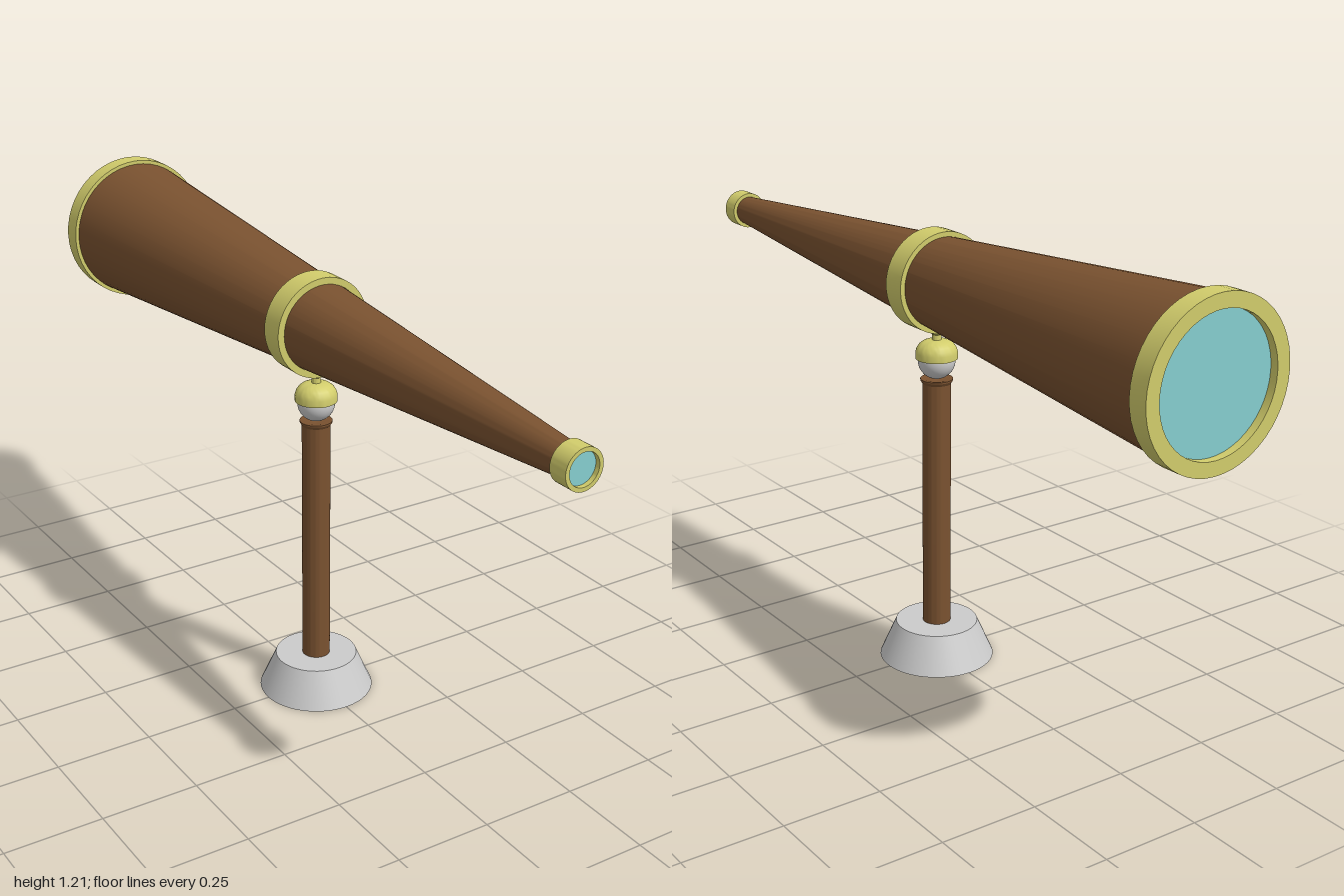
import * as THREE from 'three';
import { toCreasedNormals } from 'three/addons/utils/BufferGeometryUtils.js';

const SEG = 48;
const AXIS_Y = 1.01;

const material = (color) => new THREE.MeshStandardMaterial({ color, side: THREE.DoubleSide });

// Turns a [radius, height] profile about the y axis, keeping sharp edges crisp
function turned(name, profile, mat) {
  const points = profile.map(([r, y]) => new THREE.Vector2(r, y));
  const geometry = toCreasedNormals(new THREE.LatheGeometry(points, SEG), 0.5);
  const mesh = new THREE.Mesh(geometry, mat);
  mesh.name = name;
  return mesh;
}

// Closed rectangular band between two radii
const band = (inner, outer, from, to) =>
  [[inner, from], [outer, from], [outer, to], [inner, to], [inner, from]];

export function createModel() {
  const wood = material(0x7a5230);
  const brass = material(0xd2cd6c);
  const glass = material(0x86cfd0);
  const grey = material(0xcccccc);

  const model = new THREE.Group();
  model.name = 'telescope';

  // Optical tube, built along y and laid so its small end faces the front
  const tube = new THREE.Group();
  tube.name = 'opticalTube';
  tube.add(
    turned('barrel', [[0.186, -0.96], [0.038, 0.96]], wood),
    turned('objectiveRim', band(0.16, 0.195, -1, -0.95), brass),
    turned('middleBand', band(0.11, 0.127, -0.032, 0.032), brass),
    turned('eyepieceRim', band(0.039, 0.049, 0.95, 1), brass),
    turned('objectiveLens', [[0, -0.98], [0.162, -0.98]], glass),
    turned('eyepieceLens', [[0.041, 0.988], [0, 0.988]], glass)
  );
  tube.rotation.x = Math.PI / 2;
  tube.position.y = AXIS_Y;
  model.add(tube);

  // Stand: weighted foot, post with a small flared cup
  model.add(
    turned('base', [[0, 0], [0.148, 0], [0.106, 0.096], [0, 0.096]], grey),
    turned('post', [[0.036, 0.09], [0.036, 0.747], [0.041, 0.755], [0.041, 0.759], [0.033, 0.759], [0, 0.75]], wood)
  );

  // Ball joint with its brass socket and neck
  const ball = new THREE.Mesh(new THREE.SphereGeometry(0.047, SEG, 24), grey);
  ball.name = 'ballJoint';
  ball.position.y = 0.806;
  model.add(ball);
  model.add(turned('socket', [
    [0.045, 0.812], [0.053, 0.812], [0.053, 0.828], [0.05, 0.838], [0.044, 0.847],
    [0.035, 0.854], [0.025, 0.858], [0.012, 0.86],
    [0.011, 0.873], [0.016, 0.877], [0.016, 0.896]
  ], brass));

  return model;
}
